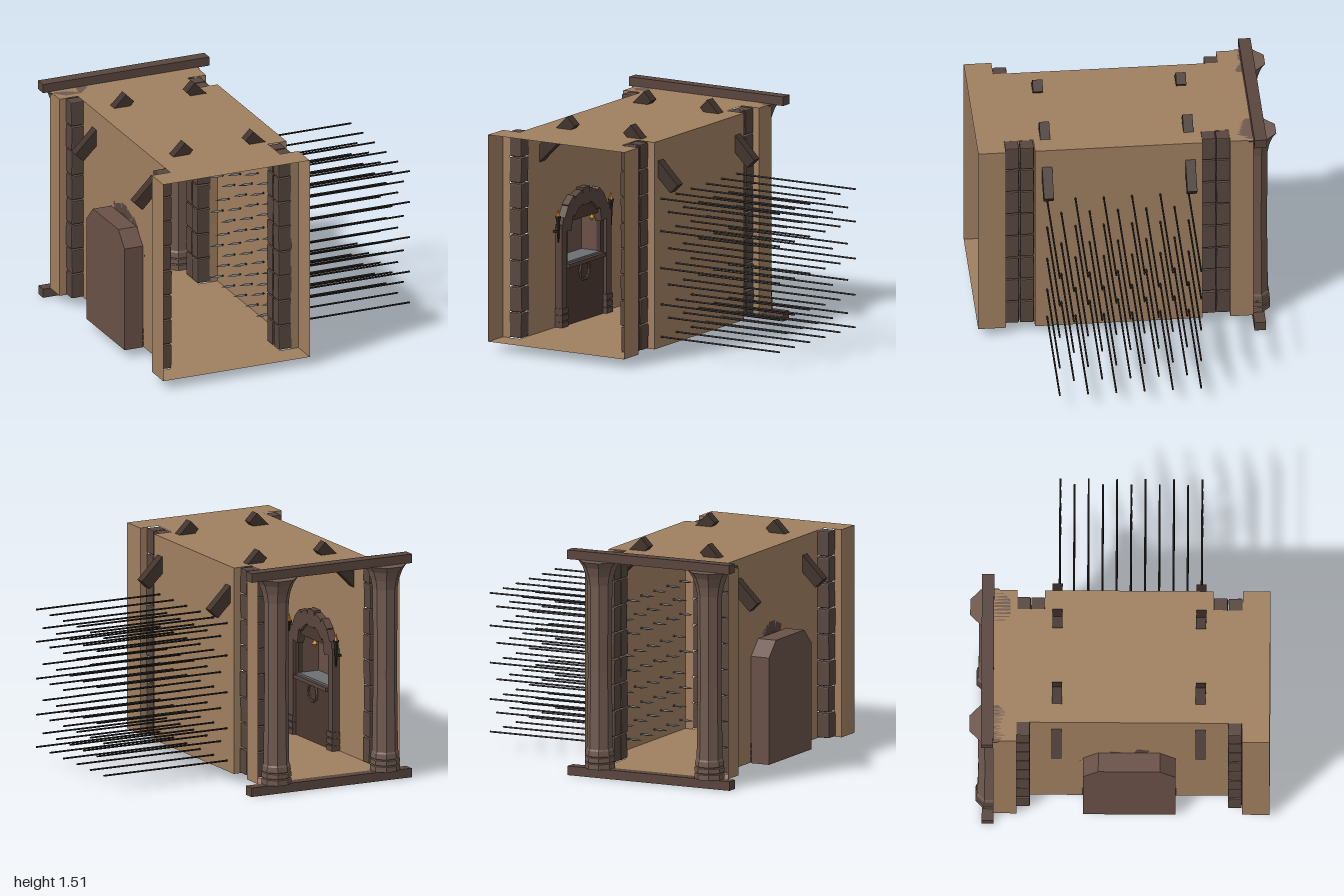
import * as THREE from 'three';
import { RoundedBoxGeometry } from 'three/addons/geometries/RoundedBoxGeometry.js';

const mat = (color, extra = {}) => new THREE.MeshStandardMaterial({ color, flatShading: true, ...extra });
const M = {
  wall: mat(0xa08060, { side: THREE.DoubleSide }),
  brick: mat(0x58473f),
  beam: mat(0x42332d),
  trim: mat(0x5a463e),
  column: mat(0x705a50),
  niche: mat(0x6a5148),
  panel: mat(0x4a3831),
  rod: mat(0x2b2624),
  steel: mat(0x6c7072),
  flame: mat(0xe8861a),
  gold: mat(0xc8921e),
};
const FLOOR = 0.06, TOP = 1.43, H = TOP - FLOOR;

let seed = 7;
const rand = () => (seed = (seed * 16807) % 2147483647) / 2147483647;

function add(parent, name, geometry, material, x = 0, y = 0, z = 0) {
  const m = new THREE.Mesh(geometry, material);
  m.name = name;
  m.position.set(x, y, z);
  parent.add(m);
  return m;
}
const box = (p, name, w, h, d, material, x, y, z) => add(p, name, new THREE.BoxGeometry(w, h, d), material, x, y, z);
const shapeOf = pts => new THREE.Shape(pts.map(p => new THREE.Vector2(p[0], p[1])));
const extrude = (shape, depth) => new THREE.ExtrudeGeometry(shape, { depth, bevelEnabled: false });
const rectPath = (x0, y0, x1, y1) => new THREE.Path([[x0, y0], [x1, y0], [x1, y1], [x0, y1]].map(p => new THREE.Vector2(...p)));

// Floor, ceiling and thin walls of the corridor
function addRoom(root) {
  const plan = [
    [-0.95, 0.97], [-0.95, 0.79], [-0.82, 0.79], [-0.82, -0.67], [-0.95, -0.67], [-0.95, -0.82],
    [0.09, -0.82], [0.09, -0.67], [-0.04, -0.67], [-0.04, -0.49], [0.09, -0.49], [0.09, 0.6],
    [-0.04, 0.6], [-0.04, 0.79], [0.09, 0.79], [0.09, 0.97],
  ];
  for (const [name, y] of [['floor', FLOOR], ['ceiling', TOP]]) {
    const slab = add(root, name, new THREE.ShapeGeometry(shapeOf(plan)), M.wall, 0, y, 0);
    slab.rotation.x = Math.PI / 2;
  }
  const wall = (name, x0, z0, x1, z1) => {
    const g = new THREE.PlaneGeometry(Math.hypot(x1 - x0, z1 - z0), H);
    const m = add(root, name, g, M.wall, (x0 + x1) / 2, FLOOR + H / 2, (z0 + z1) / 2);
    m.rotation.y = -Math.atan2(z1 - z0, x1 - x0);
  };
  for (const [a, b] of [[0.97, 0.79], [-0.67, -0.82]]) {
    wall('leftEndWall', -0.95, a, -0.95, b);
    wall('rightEndWall', 0.09, a, 0.09, b);
  }
  wall('spikeWall', 0.09, 0.6, 0.09, -0.49);
  for (const z of [0.79, 0.6, -0.49, -0.67]) wall('rightWallReturn', 0.09, z, 0.035, z);
  for (const z of [0.79, -0.67]) wall('leftWallReturn', -0.95, z, -0.895, z);
  // Long wall with the niche opening
  const s = shapeOf([[-0.7, FLOOR], [0.59, FLOOR], [0.59, TOP], [-0.7, TOP]]);
  s.holes.push(rectPath(-0.28, 0.45, 0.16, 0.76));
  add(root, 'nicheWall', new THREE.ShapeGeometry(s), M.wall, -0.82, 0, 0).rotation.y = Math.PI / 2;
}

// Stacks of slightly uneven stone blocks
function addBricks(root) {
  const rows = 8, h = H / rows;
  const stack = (x, z) => {
    const g = new THREE.Group();
    g.name = 'brickPillar';
    for (let i = 0; i < rows; i++) {
      const geo = new RoundedBoxGeometry(0.092 + rand() * 0.008, h - 0.008, 0.09, 1, 0.007);
      const b = add(g, 'brick', geo, M.brick, x + (rand() - 0.5) * 0.006, FLOOR + h * (i + 0.5), z);
      b.rotation.set((rand() - 0.5) * 0.03, (rand() - 0.5) * 0.04, (rand() - 0.5) * 0.03);
    }
    root.add(g);
  };
  for (const z of [0.745, 0.648, -0.535, -0.628]) stack(-0.003, z);
  for (const z of [0.745, -0.628]) stack(-0.857, z);
}

// Octagonal column with base rings and a flared capital
function addColumn(root, x) {
  const k = 1 / Math.cos(Math.PI / 8);
  const profile = [[0, 0.06], [0.09, 0.06], [0.09, 0.095], [0.083, 0.1], [0.09, 0.105], [0.09, 0.135], [0.082, 0.14],
    [0.088, 0.145], [0.085, 0.18], [0.078, 0.19], [0.072, 0.7], [0.075, 1.27], [0.085, 1.33], [0.105, 1.39], [0.13, 1.43], [0, 1.43]];
  const g = new THREE.LatheGeometry(profile.map(p => new THREE.Vector2(p[0] * k, p[1])), 8, Math.PI / 8);
  add(root, 'column', g, M.column, x, 0, -0.845);
}

// Rods behind the wall with blades inside the room
function addSpikes(root) {
  const g = new THREE.Group();
  g.name = 'spikeTrap';
  const rod = new THREE.CylinderGeometry(0.006, 0.006, 0.92, 6).rotateZ(Math.PI / 2);
  const blade = new THREE.OctahedronGeometry(1).scale(0.055, 0.009, 0.022);
  [1.045, 0.94, 0.83, 0.7, 0.585, 0.46, 0.345, 0.24, 0.13].forEach((y, r) => {
    const odd = r % 2;
    for (let i = 0; i < 6 - odd; i++) {
      const z = (odd ? 0.43 : 0.522) - i * 0.184;
      add(g, 'rod', rod, M.rod, 0.54, y, z);
      add(g, 'blade', blade, M.steel, 0.045, y, z);
    }
  });
  root.add(g);
}

function addTorch(parent, x) {
  const t = new THREE.Group();
  t.name = 'torch';
  t.position.set(x, 0, 0.035);
  add(t, 'handle', new THREE.CylinderGeometry(0.014, 0.006, 0.14, 6), M.rod, 0, 0.7, 0);
  add(t, 'cup', new THREE.CylinderGeometry(0.022, 0.014, 0.035, 6), M.rod, 0, 0.785, 0);
  add(t, 'flame', new THREE.ConeGeometry(0.016, 0.055, 5), M.flame, 0, 0.825, 0);
  box(t, 'bracket', 0.014, 0.014, 0.04, M.rod, 0, 0.7, -0.015);
  parent.add(t);
}

// Arched shrine; local +z faces into the room
function addShrine(root) {
  const g = new THREE.Group();
  g.name = 'shrine';
  g.position.set(-0.82, 0, 0.06);
  g.rotation.y = Math.PI / 2;
  const outer = [[-0.3, 0.055], [0.3, 0.055], [0.3, 0.76], [0.2, 0.86], [-0.2, 0.86], [-0.3, 0.76]];
  const hole = () => rectPath(-0.2, 0.47, 0.2, 0.74);
  const shell = shapeOf(outer);
  shell.holes.push(hole());
  add(g, 'nicheHousing', extrude(shell, 0.115), M.niche, 0, 0, -0.116);
  add(g, 'nicheBack', extrude(shapeOf(outer), 0.015), M.niche, 0, 0, -0.131);
  box(g, 'shelf', 0.4, 0.015, 0.15, M.steel, 0, 0.472, -0.045);
  const front = shapeOf([[-0.27, 0.06], [0.27, 0.06], [0.27, 0.72], [0.18, 0.84], [0, 0.88], [-0.18, 0.84], [-0.27, 0.72]]);
  front.holes.push(hole());
  add(g, 'frontPanel', extrude(front, 0.03), M.panel);
  for (const s of [-1, 1]) {
    box(g, 'post', 0.06, 0.68, 0.05, M.trim, s * 0.27, 0.4, 0.025);
    for (let i = 0; i < 3; i++) box(g, 'postBase', 0.072, 0.035, 0.062, M.trim, s * 0.27, 0.08 + i * 0.045, 0.028);
    addTorch(g, s * 0.32);
  }
  // Fan of arch stones
  for (let i = 0; i < 9; i++) {
    const a = Math.PI * (0.06 + 0.11 * i), r = 0.235;
    const stone = box(g, 'archStone', 0.085, i % 2 ? 0.09 : 0.115, 0.05, M.trim, Math.cos(a) * r, 0.7 + Math.sin(a) * 0.185, 0.025);
    stone.rotation.z = a - Math.PI / 2;
  }
  add(g, 'ornament', new THREE.OctahedronGeometry(0.025), M.gold, 0.06, 0.73, 0.05);
  add(g, 'ring', new THREE.TorusGeometry(0.06, 0.01, 5, 10), M.trim, 0, 0.39, 0.035);
  box(g, 'sill', 0.44, 0.025, 0.055, M.trim, 0, 0.455, 0.03);
  root.add(g);
}

export function createModel() {
  const root = new THREE.Group();
  root.name = 'trapCorridor';
  addRoom(root);
  addBricks(root);
  // Doorway beams and columns at the back
  box(root, 'lintel', 1.18, 0.06, 0.08, M.trim, -0.41, 1.457, -0.86);
  box(root, 'threshold', 1.18, 0.06, 0.075, M.trim, -0.41, 0.03, -0.857);
  addColumn(root, -0.83);
  addColumn(root, -0.03);
  // Diagonal braces through walls and ceiling
  for (const z of [-0.41, 0.522]) for (const s of [-1, 1]) {
    box(root, 'brace', 0.51, 0.08, 0.065, M.beam, -0.365 + s * 0.395, 1.305, z).rotation.z = -s * Math.PI / 4;
  }
  addSpikes(root);
  addShrine(root);
  return root;
}
